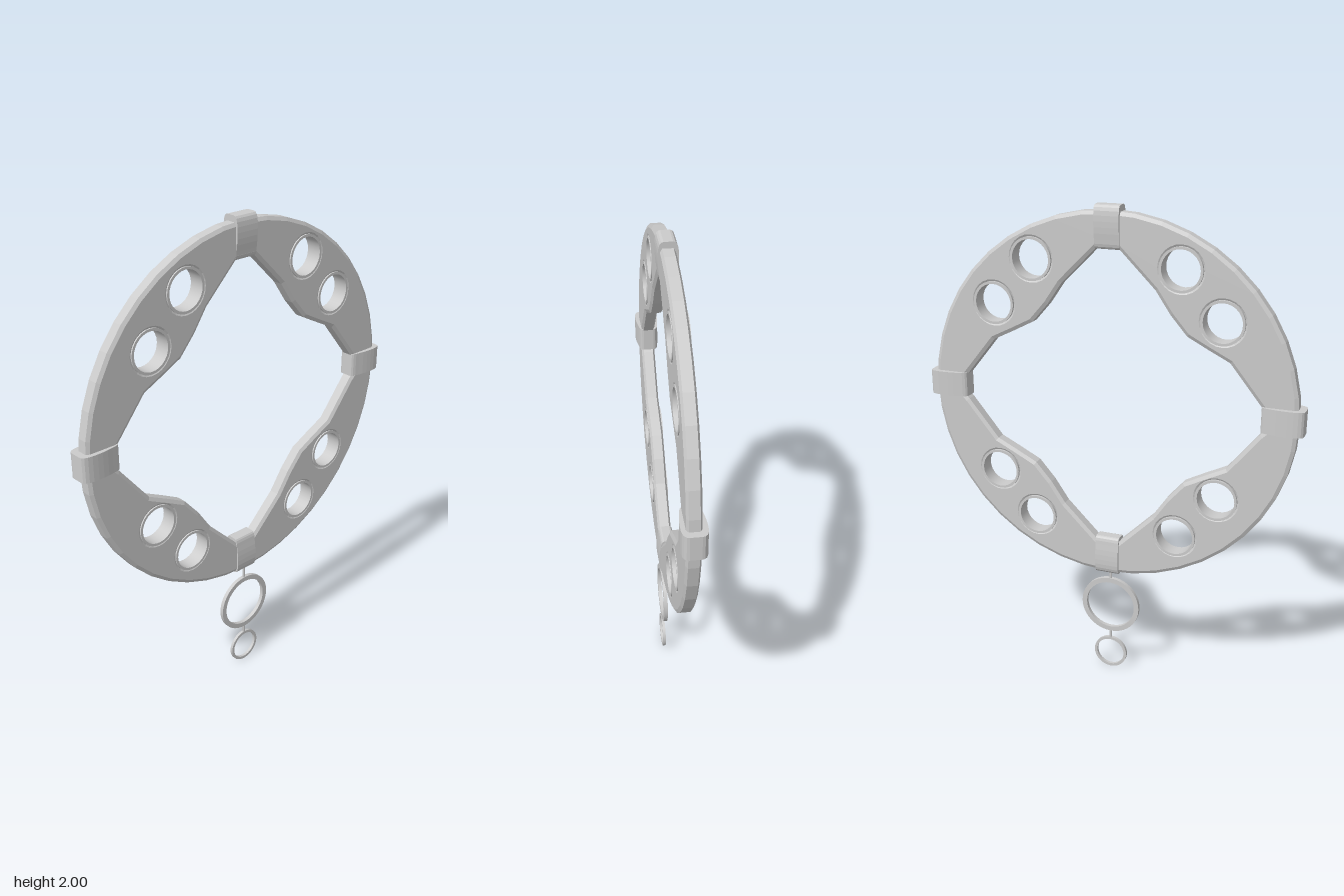
import * as THREE from 'three';

const CY = 1.232;
const mat = new THREE.MeshStandardMaterial({ color: 0xcccccc, flatShading: true });
const smooth = new THREE.MeshStandardMaterial({ color: 0xcccccc });

function add(group, name, geometry, material = mat) {
  const mesh = new THREE.Mesh(geometry, material);
  mesh.name = name;
  group.add(mesh);
  return mesh;
}

// Flat ring with square section, its axis along z
function washer(outer, inner, depth, segments) {
  const h = depth / 2;
  const profile = [[inner, -h], [outer, -h], [outer, -h], [outer, h], [outer, h], [inner, h], [inner, h], [inner, -h]]
    .map(([x, y]) => new THREE.Vector2(x, y));
  return new THREE.LatheGeometry(profile, segments).rotateX(Math.PI / 2);
}

// Solid strap block: rounded outline in the x-z plane, extruded along y
function strapGeometry(length, thick, width) {
  const a = length / 2, b = thick / 2;
  const s = new THREE.Shape();
  s.moveTo(-a, -b * 0.45);
  s.quadraticCurveTo(-a, -b * 0.8, -a + 0.035, -b * 0.86);
  s.quadraticCurveTo(0, -b * 1.05, a - 0.04, -b);
  s.quadraticCurveTo(a, -b * 0.95, a, -b * 0.45);
  s.lineTo(a, b * 0.45);
  s.quadraticCurveTo(a, b * 0.95, a - 0.04, b);
  s.quadraticCurveTo(0, b * 1.05, -a + 0.035, b * 0.86);
  s.quadraticCurveTo(-a, b * 0.8, -a, b * 0.45);
  s.closePath();
  const g = new THREE.ExtrudeGeometry(s, { depth: width, bevelEnabled: false, curveSegments: 4 });
  return g.translate(0, 0, -width / 2).rotateX(Math.PI / 2);
}

export function createModel() {
  const model = new THREE.Group();
  model.name = 'ringPendant';

  // Hole centres, two in each quarter
  const holes = [];
  for (const sy of [1, -1]) {
    for (const sx of [1, -1]) {
      holes.push([sx * 0.467 + 0.012, CY + 0.008 + sy * 0.355]);
      holes.push([sx * 0.302 + 0.012, CY + 0.008 + sy * 0.54]);
    }
  }

  // Ring body: faceted round outside, waisted diamond opening
  const outline = new THREE.Shape();
  const SIDES = 44;
  for (let i = 0; i < SIDES; i++) {
    const t = (i / SIDES) * Math.PI * 2;
    const x = 0.757 * Math.cos(t), y = CY + 0.747 * Math.sin(t);
    if (i) outline.lineTo(x, y); else outline.moveTo(x, y);
  }
  outline.closePath();

  const quarter = [[0.64, 0.03], [0.614, 0.055], [0.487, 0.212], [0.4, 0.255], [0.317, 0.298],
    [0.25, 0.375], [0.19, 0.463], [0.045, 0.607]];
  const opening = [];
  for (const [sx, sy] of [[1, 1], [-1, 1], [-1, -1], [1, -1]]) {
    const points = quarter.map(([x, y]) => new THREE.Vector2(sx * x, CY + sy * y));
    opening.push(...(sx * sy > 0 ? points : points.reverse()));
  }
  outline.holes.push(new THREE.Path(opening.reverse()));
  for (const [x, y] of holes) {
    outline.holes.push(new THREE.Path().absarc(x, y, 0.079, 0, Math.PI * 2, true));
  }
  const body = new THREE.ExtrudeGeometry(outline, {
    depth: 0.04, bevelEnabled: true, bevelSize: 0.014, bevelOffset: -0.014,
    bevelThickness: 0.008, bevelSegments: 1, curveSegments: 12,
  });
  add(model, 'ringBody', body.translate(0, 0, -0.018));

  // Short sleeves lining the holes
  for (const [x, y] of holes) {
    add(model, 'holeSleeve', washer(0.086, 0.076, 0.064, 28), smooth).position.set(x, y, 0);
  }

  // Straps around the ring at the four quarter points
  for (let i = 0; i < 4; i++) {
    const upright = i % 2 === 1;
    const pivot = new THREE.Group();
    pivot.name = 'strapMount';
    pivot.position.y = upright ? CY + 0.008 : CY + 0.008;
    pivot.rotation.z = (i * Math.PI) / 2;
    const strap = add(pivot, 'strap', strapGeometry(0.165, upright ? 0.074 : 0.094, 0.1));
    strap.position.x = upright ? 0.6775 : 0.6975;
    model.add(pivot);
  }

  // Hanging rings joined by thin pins
  const Z = 0.018;
  add(model, 'largeHangingRing', washer(0.128, 0.107, 0.016, 40), smooth).position.set(0, 0.307, Z);
  add(model, 'smallHangingRing', washer(0.073, 0.061, 0.012, 32), smooth).position.set(0, 0.073, Z);
  for (const [low, high] of [[0.425, 0.5], [0.14, 0.19]]) {
    add(model, 'linkPin', new THREE.CylinderGeometry(0.006, 0.006, high - low, 8), smooth)
      .position.set(0, (low + high) / 2, Z);
  }
  return model;
}
